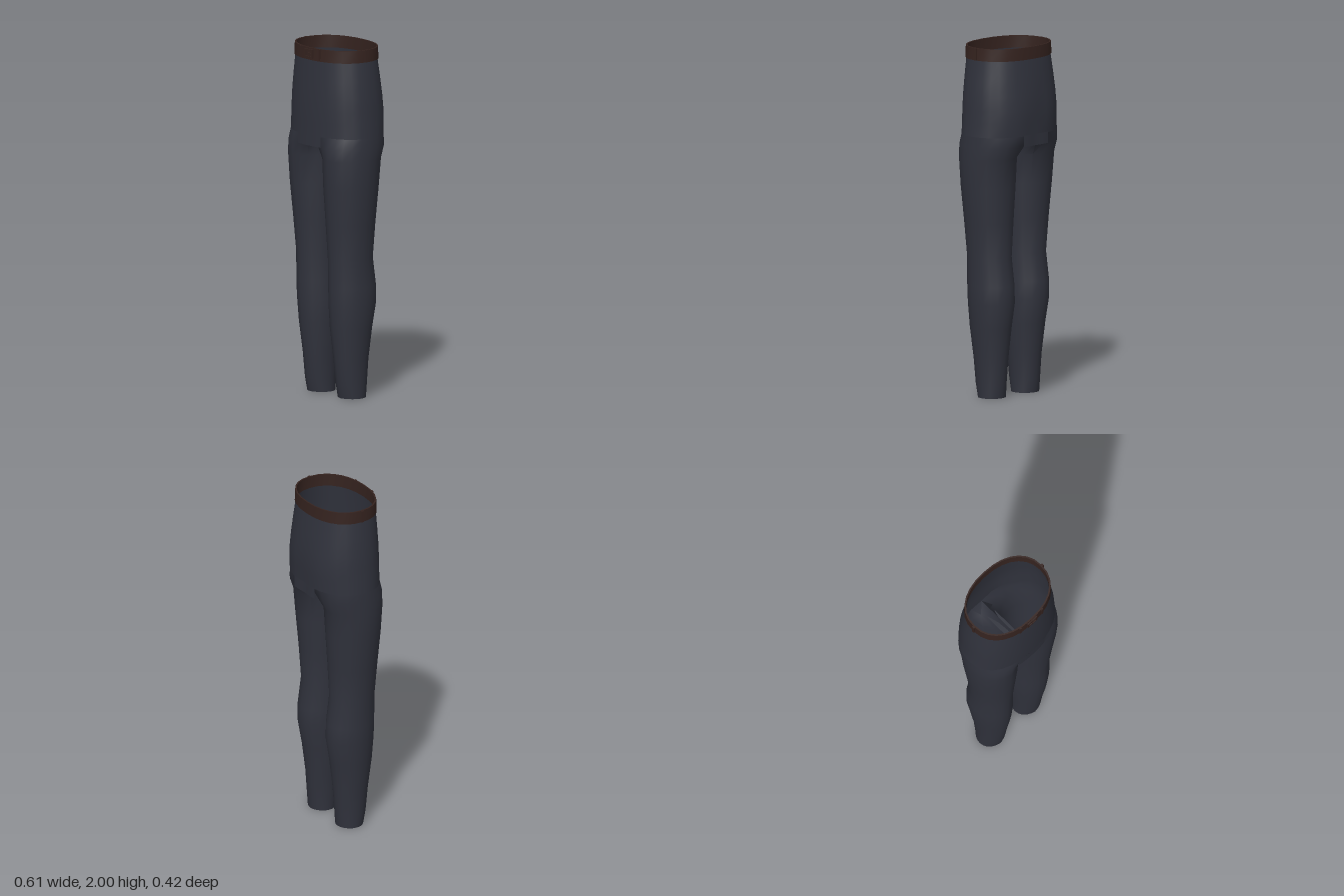
import * as THREE from 'three';
import { toCreasedNormals } from 'three/addons/utils/BufferGeometryUtils.js';

const cloth = new THREE.MeshStandardMaterial({ color: 0x30323c, side: THREE.DoubleSide });
cloth.name = 'charcoal cloth';
const leather = new THREE.MeshStandardMaterial({ color: 0x35231f, side: THREE.DoubleSide });
leather.name = 'dark brown leather';

const HALF = 14;          // outline segments on each side of the body
const POWER = 2.25;       // how square the body outline is
const MID = 0.01;         // depth at which the body is widest

// Skin closed rings of points, listed from bottom to top
function loft(rings) {
  const n = rings[0].length, index = [];
  for (let i = 0; i < rings.length - 1; i++) {
    for (let j = 0; j < n; j++) {
      const a = i * n + j, b = i * n + (j + 1) % n;
      index.push(a, a + n, b, b, a + n, b + n);
    }
  }
  const g = new THREE.BufferGeometry();
  g.setAttribute('position', new THREE.Float32BufferAttribute(rings.flat(2), 3));
  g.setIndex(index);
  return toCreasedNormals(g, 0.7);
}

// Point on the body outline; dent pulls in the middle of the back
function outline(t, y, hw, front, back, dent = 0) {
  const c = Math.cos(t), s = Math.sin(t), e = 2 / POWER;
  const x = hw * Math.sign(c) * Math.abs(c) ** e;
  let z = (s > 0 ? front - MID : MID - back) * Math.sign(s) * Math.abs(s) ** e;
  if (s < 0) z += dent * Math.exp(-((x / 0.06) ** 2));
  return [x, y, z + MID];
}

const bodyRing = (...row) => Array.from({ length: HALF * 2 },
  (_, j) => outline(-Math.PI / 2 + (j * Math.PI) / HALF, ...row));

// y, half width, front, back, dent
const hip = [1.5, 0.303, 0.213, -0.208, 0.008];
const bodyRows = [
  hip,
  [1.58, 0.297, 0.214, -0.214, 0.012],
  [1.65, 0.293, 0.214, -0.215, 0.01],
  [1.73, 0.288, 0.212, -0.207, 0.004],
  [1.82, 0.277, 0.209, -0.196],
  [1.94, 0.261, 0.203, -0.18],
];

// y, inner x, outer x, back, front, share of body outline
const legRows = [
  [0, 0.056, 0.218, -0.07, 0.09, 0],
  [0.08, 0.056, 0.22, -0.078, 0.108, 0],
  [0.22, 0.046, 0.228, -0.088, 0.122, 0],
  [0.4, 0.03, 0.247, -0.11, 0.145, 0],
  [0.54, 0.022, 0.26, -0.134, 0.155, 0],
  [0.64, 0.023, 0.262, -0.132, 0.158, 0],
  [0.8, 0.026, 0.257, -0.11, 0.16, 0],
  [1, 0.014, 0.276, -0.121, 0.174, 0],
  [1.2, 0.004, 0.296, -0.136, 0.19, 0],
  [1.37, 0.002, 0.305, -0.15, 0.2, 0],
  [1.44, 0.002, 0.305, -0.176, 0.206, 0.3],
  [1.5, 0, 0.303, -0.208, 0.213, 1],
];

// Leg section with a front crease, turning into half the body outline at the hip
function legRing([y, inner, outer, back, front, share]) {
  const cx = (inner + outer) / 2, rx = (outer - inner) / 2;
  const cz = (front + back) / 2, rz = (front - back) / 2;
  const ring = [];
  for (let j = 0; j < 20; j++) {
    const a = THREE.MathUtils.degToRad(-126 + j * 18);
    const crease = j === 12 ? 0.004 : 0;
    const oval = [cx + rx * Math.cos(a), y, cz + (rz - 0.002) * Math.sin(a) + crease];
    const body = j <= HALF
      ? outline(-Math.PI / 2 + (j * Math.PI) / HALF, ...hip)
      : [0, y, THREE.MathUtils.lerp(hip[2], hip[3] + hip[4], (j - HALF) / 6)];
    ring.push(oval.map((v, k) => (k === 1 ? y : THREE.MathUtils.lerp(v, body[k], share))));
  }
  return ring;
}

function add(parent, name, geometry, material) {
  const mesh = new THREE.Mesh(geometry, material);
  mesh.name = name;
  parent.add(mesh);
  return mesh;
}

// Short curved panel hanging from the hip line between the legs
function crotchPanel(side) {
  const g = new THREE.PlaneGeometry(0.2, 0.065, 8, 1);
  const p = g.attributes.position;
  const r = side > 0 ? hip[2] - MID : MID - hip[3];
  for (let i = 0; i < p.count; i++) {
    const x = p.getX(i);
    let z = r * (1 - (Math.abs(x) / hip[1]) ** POWER) ** (1 / POWER);
    if (side < 0) z -= hip[4] * Math.exp(-((x / 0.06) ** 2));
    p.setXYZ(i, side * x, p.getY(i) + 1.4725, MID + side * (z + 0.001));
  }
  g.computeVertexNormals();
  return g;
}

export function createModel() {
  const model = new THREE.Group();
  model.name = 'trousers';

  add(model, 'hips', loft(bodyRows.map((row) => bodyRing(...row))), cloth);

  // Legs, each closed at the hem
  for (const side of [1, -1]) {
    const rings = legRows.map(legRing);
    rings.unshift(rings[0].map(() => [0.137, 0, 0.01]));
    const mirrored = side > 0 ? rings
      : rings.map((ring) => ring.map(([x, y, z]) => [-x, y, z]).reverse());
    add(model, side > 0 ? 'leftLeg' : 'rightLeg', loft(mirrored), cloth);
  }

  // Crotch panels and the narrow strip joining them
  add(model, 'frontCrotchPanel', crotchPanel(1), cloth);
  add(model, 'backCrotchPanel', crotchPanel(-1), cloth);
  const strip = add(model, 'crotchStrip', new THREE.PlaneGeometry(0.06, 0.41), cloth);
  strip.rotation.x = -Math.PI / 2;
  strip.position.set(0, 1.442, 0.004);

  // Belt band with thickness
  const band = [
    [1.93, 0.256, 0.198, -0.176], [1.93, 0.268, 0.209, -0.186],
    [2, 0.265, 0.207, -0.184], [2, 0.256, 0.198, -0.176],
    [1.93, 0.256, 0.198, -0.176],
  ];
  add(model, 'belt', loft(band.map((row) => bodyRing(...row))), leather);

  // Belt loops at the sides and the front
  for (const side of [1, -1]) {
    add(model, 'sideBeltLoop', new THREE.BoxGeometry(0.012, 0.068, 0.016), leather)
      .position.set(side * 0.267, 1.965, 0.013);
    const loop = add(model, 'frontBeltLoop', new THREE.BoxGeometry(0.014, 0.068, 0.01), leather);
    loop.position.set(side * 0.083, 1.965, 0.201);
    loop.rotation.y = side * 0.12;
  }

  // Buckle frame with a prong
  const frame = new THREE.Shape();
  frame.moveTo(-0.036, -0.025).lineTo(0.036, -0.025).lineTo(0.036, 0.025).lineTo(-0.036, 0.025);
  const hole = new THREE.Path();
  hole.moveTo(-0.026, -0.016).lineTo(-0.026, 0.016).lineTo(0.026, 0.016).lineTo(0.026, -0.016);
  frame.holes.push(hole);
  add(model, 'buckleFrame',
    new THREE.ExtrudeGeometry(frame, { depth: 0.01, bevelEnabled: false }), leather)
    .position.set(0, 1.965, 0.204);
  add(model, 'buckleProng', new THREE.BoxGeometry(0.034, 0.008, 0.008), leather)
    .position.set(0.015, 1.965, 0.209);

  return model;
}
